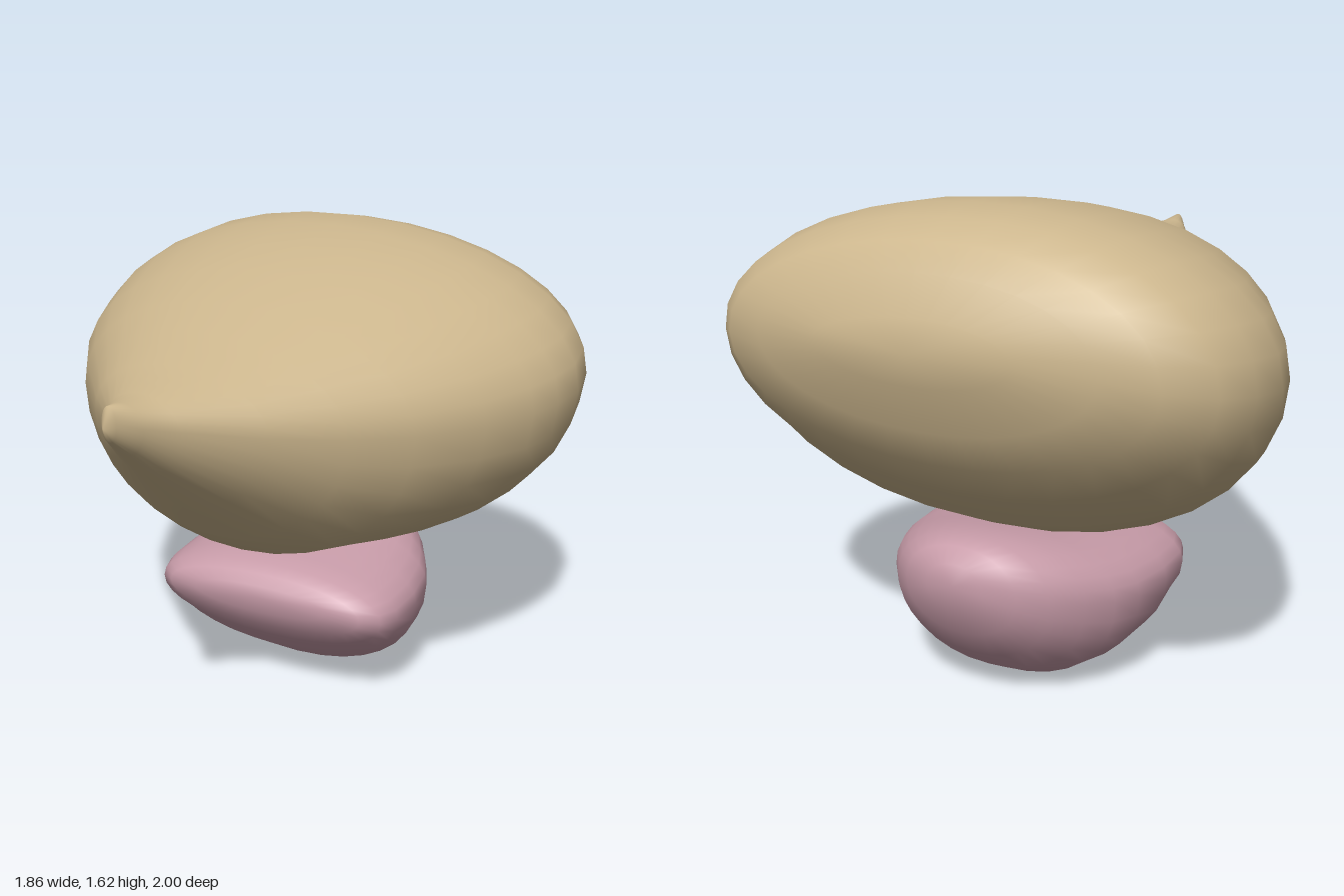
import * as THREE from 'three';

// Smooth closed skin through oval sections, listed from front to back.
// Section: [z, topY, bottomY, halfWidth, heightOfWidestPoint]
function loft(sections, power, skew, seg = 32) {
  const pos = [], idx = [];
  const bulge = (v) => Math.sign(v) * Math.pow(Math.abs(v), 2 / power);
  for (const [z, top, bottom, half, mid] of sections) {
    for (let j = 0; j < seg; j++) {
      const a = (j / seg) * Math.PI * 2;
      const x = half * bulge(Math.cos(a)), s = bulge(Math.sin(a));
      const y = mid + (s > 0 ? (top - mid) * s - skew * x * s : (mid - bottom) * s);
      pos.push(x, y, z);
    }
  }
  for (let i = 0; i < sections.length - 1; i++) {
    for (let j = 0; j < seg; j++) {
      const k = (j + 1) % seg;
      const a = i * seg + j, c = i * seg + k, b = a + seg, d = c + seg;
      if (i > 0) idx.push(a, b, c);
      else idx.push(a, b, d);
      if (i > 0 && i < sections.length - 2) idx.push(c, b, d);
    }
  }
  const geo = new THREE.BufferGeometry();
  geo.setAttribute('position', new THREE.Float32BufferAttribute(pos, 3));
  geo.setIndex(idx);
  geo.computeVertexNormals();
  // Both end rings are single points, so give each one shared normal
  const n = geo.attributes.normal, last = (sections.length - 1) * seg;
  for (let j = 0; j < seg; j++) {
    n.setXYZ(j, 0, 0, 1);
    n.setXYZ(last + j, 0, 0, -1);
  }
  return geo;
}

export function createModel() {
  const tan = new THREE.MeshStandardMaterial({ color: 0xcdb78e });
  tan.name = 'tan';
  const pink = new THREE.MeshStandardMaterial({ color: 0xc99daa });
  pink.name = 'pink';
  const model = new THREE.Group();

  // Large upper mass tapering forward to a small upturned tip
  const upper = new THREE.Mesh(loft([
    [1.0, 1.27, 1.27, 0, 1.27],
    [0.97, 1.33, 1.22, 0.025, 1.27],
    [0.9, 1.32, 1.16, 0.07, 1.25],
    [0.8, 1.32, 1.07, 0.13, 1.22],
    [0.6, 1.35, 0.90, 0.31, 1.17],
    [0.4, 1.405, 0.73, 0.47, 1.13],
    [0.22, 1.455, 0.605, 0.62, 1.11],
    [0.0, 1.52, 0.56, 0.77, 1.1],
    [-0.2, 1.565, 0.52, 0.86, 1.1],
    [-0.32, 1.585, 0.51, 0.905, 1.11],
    [-0.46, 1.605, 0.53, 0.93, 1.12],
    [-0.62, 1.615, 0.61, 0.91, 1.14],
    [-0.75, 1.59, 0.74, 0.85, 1.16],
    [-0.87, 1.54, 0.87, 0.73, 1.19],
    [-0.93, 1.46, 0.99, 0.57, 1.22],
    [-0.98, 1.34, 1.14, 0.33, 1.24],
    [-1.0, 1.24, 1.24, 0, 1.24],
  ], 2.05, 0.03), tan);
  upper.name = 'upperBody';
  model.add(upper);

  // Small rounded base, broad at the front and narrowing to the back
  const base = new THREE.Mesh(loft([
    [0.115, 0.38, 0.38, 0, 0.38],
    [0.108, 0.42, 0.32, 0.26, 0.37],
    [0.08, 0.455, 0.26, 0.38, 0.355],
    [0.03, 0.48, 0.2, 0.44, 0.34],
    [-0.05, 0.495, 0.12, 0.47, 0.33],
    [-0.2, 0.51, 0.025, 0.475, 0.33],
    [-0.36, 0.53, 0.0, 0.45, 0.33],
    [-0.46, 0.545, 0.01, 0.41, 0.34],
    [-0.56, 0.565, 0.07, 0.355, 0.36],
    [-0.66, 0.57, 0.16, 0.28, 0.38],
    [-0.73, 0.555, 0.26, 0.2, 0.41],
    [-0.77, 0.51, 0.36, 0.1, 0.43],
    [-0.78, 0.44, 0.44, 0, 0.44],
  ], 2.15, 0), pink);
  base.name = 'base';
  model.add(base);

  return model;
}
